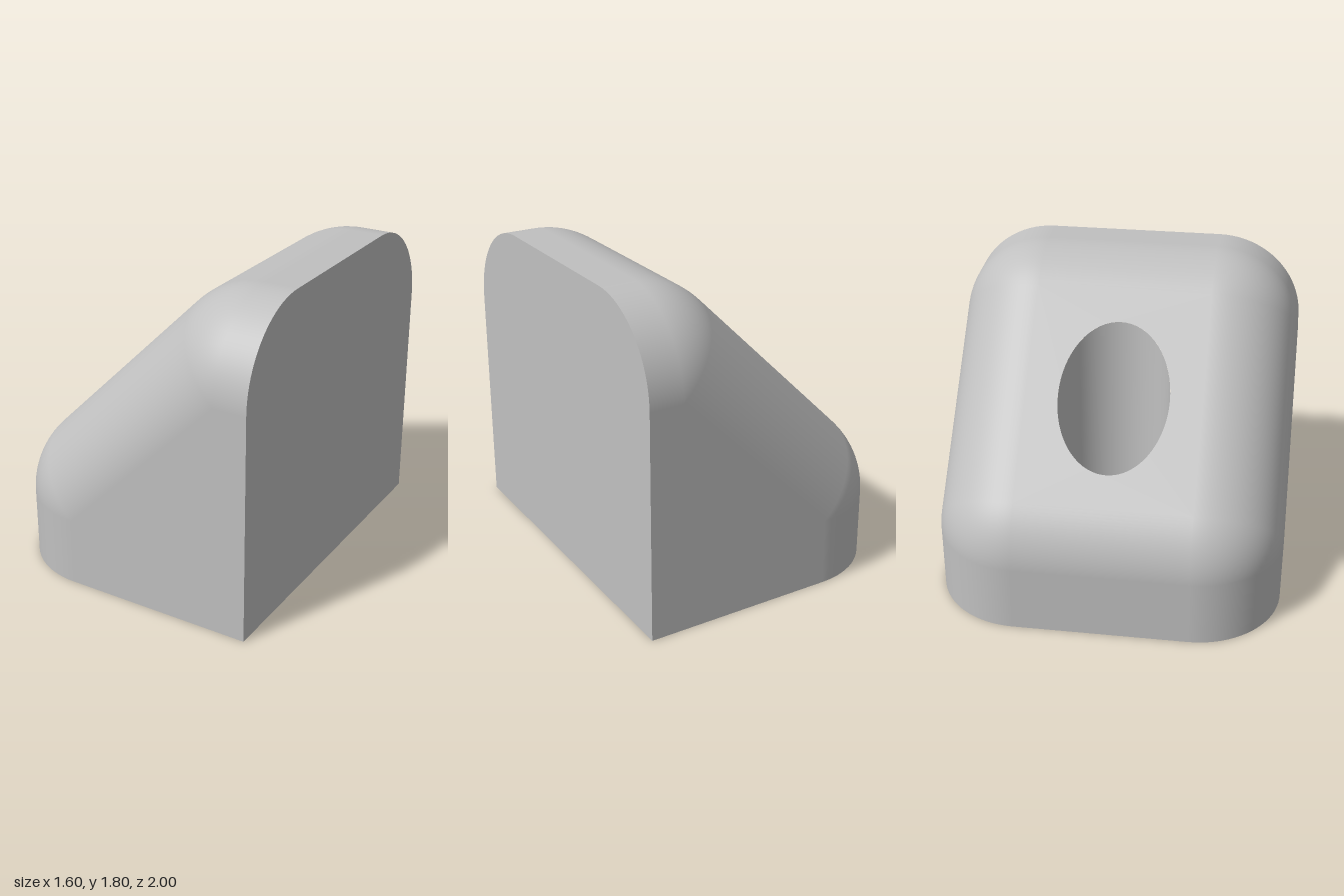
import * as THREE from 'three';

const R = 0.5;            // edge rounding radius
const N = 20;             // steps per rounded arc
const HOLE = [-0.2, 0];   // x, z of the bolt hole
const BORE = 0.315, BOLT = 0.172, LEDGE = 0.4;
const slopeY = x => x + 1.4;

// Centres of the rounding along the side profile, inset by R
const inset = 1.4 - R * Math.SQRT2;
const low = [-0.3, -0.3 + inset], high = [1.3 - inset, 1.3];

// Rounding steps across the width: angle t and centre z
const rows = [];
for (const s of [-1, 1])
  for (let i = 0; i <= N; i++) {
    const t = (Math.PI / 2) * (s < 0 ? i / N - 1 : i / N);
    rows.push({ t, z: s * (1 - R) });
  }

// Stations along the profile, from the foot of the nose to the back
const stations = [{ c: [low[0], 0], a: Math.PI }];
for (const [c, from] of [[low, Math.PI], [high, Math.PI * 0.75]])
  for (let j = 0; j <= N; j++) stations.push({ c, a: from - (j / N) * Math.PI / 4 });
stations.push({ c: [0.8, high[1]], a: Math.PI / 2 });

// Rounded skin, leaving out the flat slope that carries the hole
function roundedSkin() {
  const pos = [], nor = [], idx = [], w = stations.length;
  for (const { t, z } of rows)
    for (const { c, a } of stations) {
      const n = [Math.cos(a) * Math.cos(t), Math.sin(a) * Math.cos(t), Math.sin(t)];
      pos.push(c[0] + R * n[0], c[1] + R * n[1], z + R * n[2]);
      nor.push(...n);
    }
  for (let i = 0; i < rows.length - 1; i++)
    for (let j = 0; j < w - 1; j++) {
      if (i === N && j === N + 1) continue;
      const p = i * w + j, q = p + w;
      idx.push(p, q, p + 1, q, q + 1, p + 1);
    }
  const g = new THREE.BufferGeometry();
  g.setAttribute('position', new THREE.Float32BufferAttribute(pos, 3));
  g.setAttribute('normal', new THREE.Float32BufferAttribute(nor, 3));
  g.setIndex(idx);
  return g;
}

// Flat face from corner points, with an optional round hole
function face(points, holeRadius) {
  const shape = new THREE.Shape(points.map(p => new THREE.Vector2(p[0], p[1])));
  if (holeRadius)
    shape.holes.push(new THREE.Path().absarc(HOLE[0], HOLE[1], holeRadius, 0, Math.PI * 2, true));
  return new THREE.ShapeGeometry(shape, 64);
}

// Lift vertices above the ledge onto the slope
function liftToSlope(g, test) {
  const p = g.attributes.position;
  for (let i = 0; i < p.count; i++)
    if (test(p.getY(i))) p.setY(i, slopeY(p.getX(i)));
  return g;
}

// Inward-facing ring surface around the hole axis
function ring(r1, y1, r2, y2) {
  return new THREE.LatheGeometry([new THREE.Vector2(r1, y1), new THREE.Vector2(r2, y2)], 64)
    .translate(HOLE[0], 0, HOLE[1]);
}

export function createModel() {
  const model = new THREE.Group();
  model.name = 'cornerBlock';
  const grey = new THREE.MeshStandardMaterial({ color: 0xc0c0c0 });
  grey.name = 'grey';
  const add = (name, geometry) => {
    const mesh = new THREE.Mesh(geometry, grey);
    mesh.name = name;
    model.add(mesh);
  };

  add('roundedSkin', roundedSkin());

  // Sloped face with the bore opening
  const k = R * Math.SQRT1_2, x0 = low[0] - k, x1 = high[0] - k, h = 1 - R;
  const slope = liftToSlope(
    face([[x0, -h], [x1, -h], [x1, h], [x0, h]], BORE).rotateX(-Math.PI / 2), () => true);
  slope.computeVertexNormals();
  add('slopedFace', slope);

  // Flat sides
  const side = [[low[0], 0], [0.8, 0], [0.8, high[1]], high, low];
  add('frontSide', face(side).translate(0, 0, 1));
  add('backSide', face(side.map(([x, y]) => [-x, y])).rotateY(Math.PI).translate(0, 0, -1));

  // Base and upright mounting face
  const across = rows.map(({ t, z }) => [R * Math.cos(t), z + R * Math.sin(t)]);
  add('base', face(
    [...across.map(([d, z]) => [low[0] - d, z]), [0.8, 1], [0.8, -1]], BOLT).rotateX(Math.PI / 2));
  add('mountingFace', face(
    [...across.map(([d, z]) => [z, high[1] + d]), [1, 0], [-1, 0]])
    .rotateY(Math.PI / 2).translate(0.8, 0, 0));

  // Counterbored bolt hole
  add('boreWall', liftToSlope(ring(BORE, 1, BORE, LEDGE), y => y > LEDGE + 0.1));
  add('boreLedge', ring(BORE, LEDGE, BOLT, LEDGE));
  add('boltHole', ring(BOLT, LEDGE, BOLT, 0));

  return model;
}
